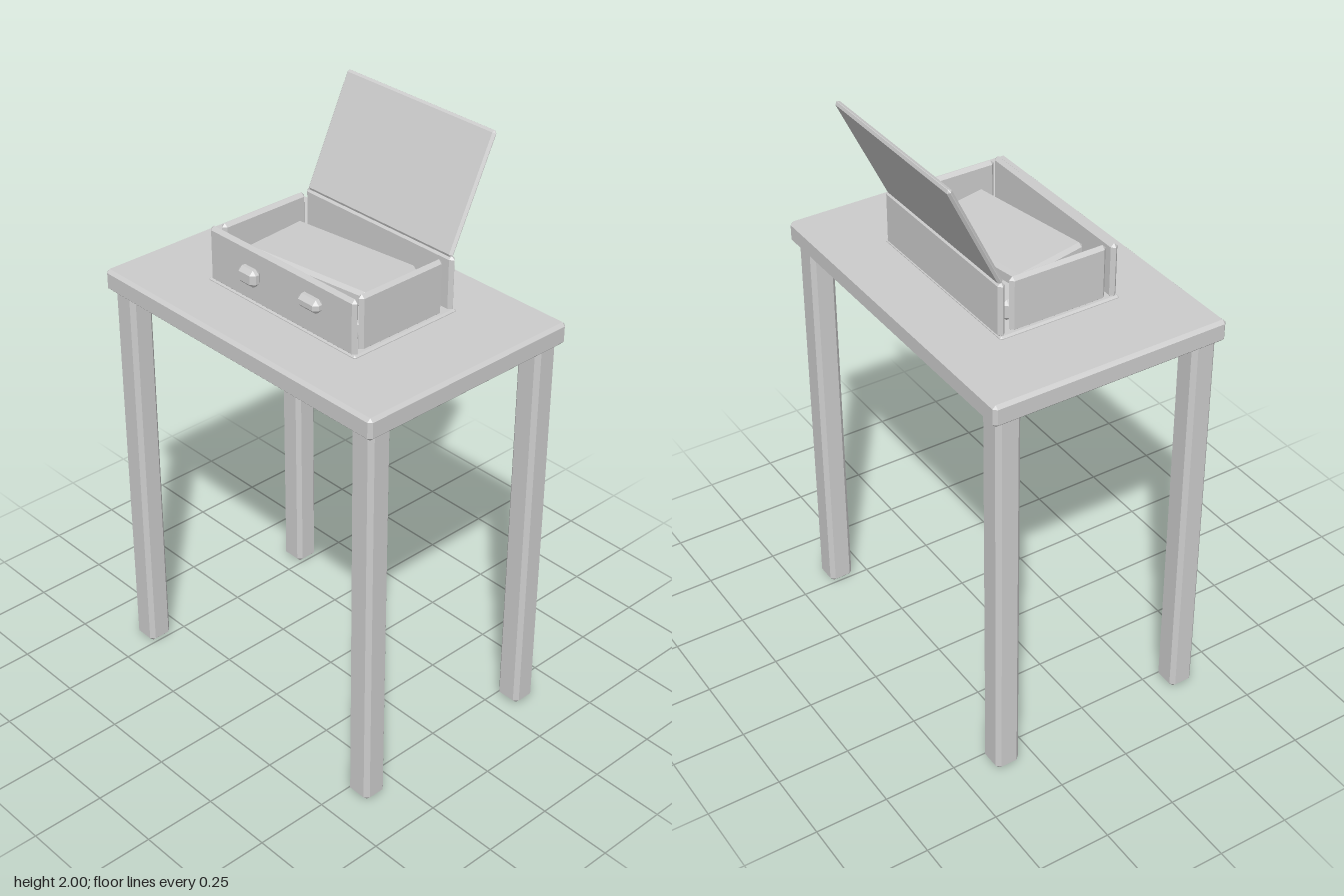
import * as THREE from 'three';
import { ConvexGeometry } from 'three/addons/geometries/ConvexGeometry.js';

const grey = new THREE.MeshStandardMaterial({ color: 0xcccccc });
grey.name = 'plain grey';

// Box whose edges and corners are cut by a chamfer c
function chamferBox(w, h, d, c) {
  const half = [w / 2, h / 2, d / 2];
  const points = [];
  for (const sx of [-1, 1]) for (const sy of [-1, 1]) for (const sz of [-1, 1]) {
    const s = [sx, sy, sz];
    for (let face = 0; face < 3; face++) {
      points.push(new THREE.Vector3(...half.map((v, i) => s[i] * (i === face ? v : v - c))));
    }
  }
  return new ConvexGeometry(points);
}

export function createModel() {
  const model = new THREE.Group();
  model.name = 'tableWithOpenCase';

  // Adds a chamfered box given its size, centre and chamfer
  function add(name, size, centre, c, parent = model) {
    const mesh = new THREE.Mesh(chamferBox(...size, c), grey);
    mesh.name = name;
    mesh.position.set(...centre);
    parent.add(mesh);
    return mesh;
  }

  // Table
  add('tableTop', [1.214, 0.075, 0.82], [0, 1.418, 0], 0.011);
  for (const x of [-1, 1]) for (const z of [-1, 1]) {
    add('leg', [0.09, 1.39, 0.085], [x * 0.546, 0.695, z * 0.347], 0.014);
  }

  // Case: base, front and back panels, separate side walls
  const box = new THREE.Group();
  box.name = 'case';
  model.add(box);
  add('caseBase', [0.668, 0.016, 0.425], [0, 1.456, 0], 0.006, box);
  add('frontPanel', [0.656, 0.19, 0.024], [0, 1.548, 0.197], 0.0115, box);
  add('backPanel', [0.656, 0.19, 0.024], [0, 1.548, -0.201], 0.0115, box);
  for (const x of [-1, 1]) {
    add('sideWall', [0.024, 0.19, 0.34], [x * 0.307, 1.548, 0.003], 0.0115, box);
  }

  // Contents: a flat block with a second one lying askew on it
  add('lowerBlock', [0.55, 0.07, 0.315], [0, 1.498, -0.003], 0.014, box);
  const upper = add('upperBlock', [0.47, 0.055, 0.265], [0, 1.565, 0], 0.012, box);
  upper.rotation.set(-0.05, 0.15, -0.02, 'YXZ');

  // Knobs on the front panel
  add('leftKnob', [0.09, 0.045, 0.04], [0.156, 1.577, 0.226], 0.014, box);
  add('rightKnob', [0.078, 0.058, 0.04], [-0.12, 1.557, 0.226], 0.014, box);

  // Lid leaning back from the rear panel
  const lid = add('lid', [0.64, 0.4, 0.018], [0, 1.816, -0.284], 0.008);
  lid.rotation.x = -0.447;

  return model;
}
